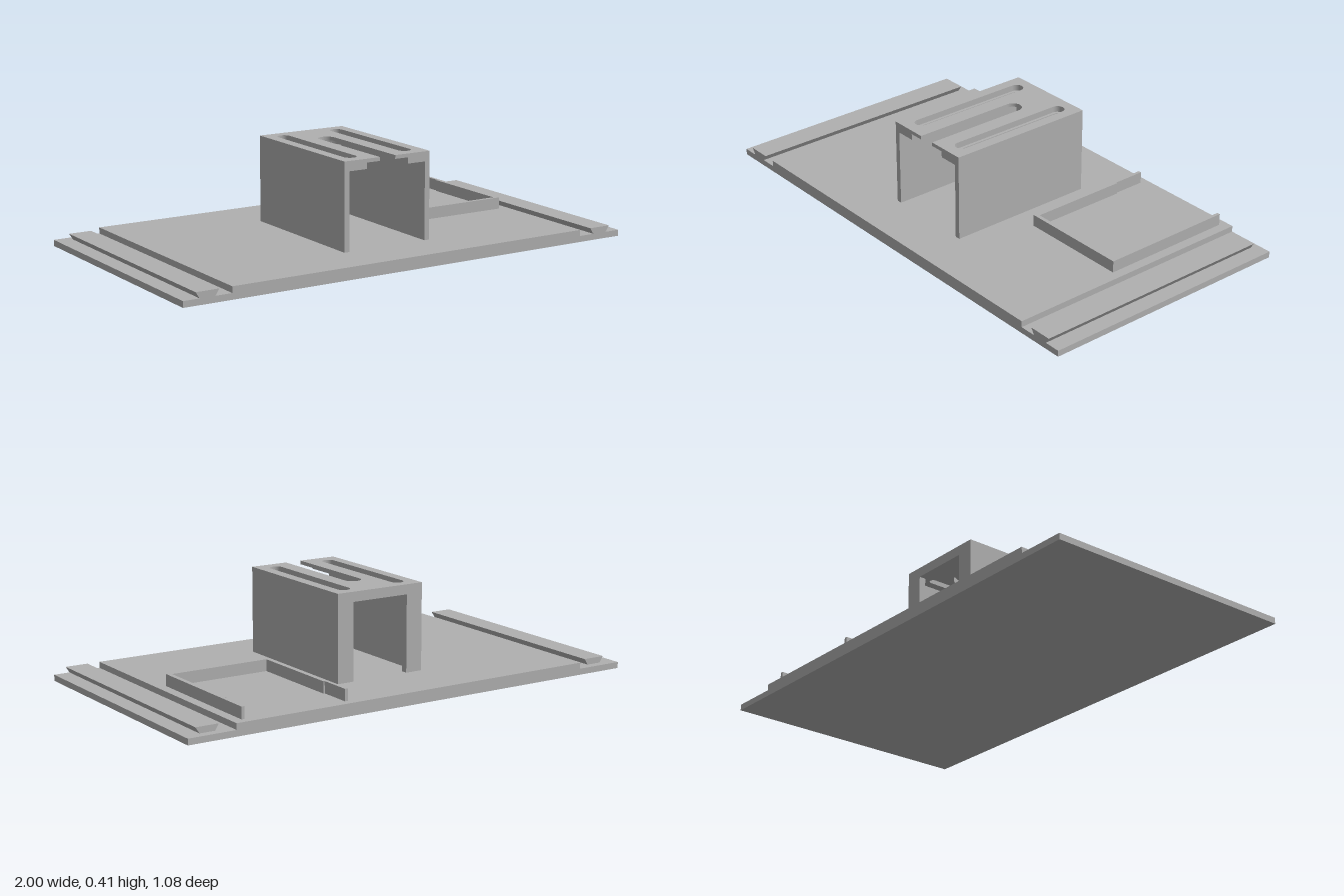
import * as THREE from 'three';

const grey = new THREE.MeshStandardMaterial({ color: 0xb0b0b0 });
grey.name = 'grey plastic';

export function createModel() {
  const model = new THREE.Group();
  model.name = 'mountingPlate';

  const add = (name, geometry, parent = model) => {
    const mesh = new THREE.Mesh(geometry, grey);
    mesh.name = name;
    parent.add(mesh);
    return mesh;
  };

  // Box given by its limits
  const box = (name, x0, x1, y0, y1, z0, z1, parent) =>
    add(name, new THREE.BoxGeometry(x1 - x0, y1 - y0, z1 - z0), parent)
      .position.set((x0 + x1) / 2, (y0 + y1) / 2, (z0 + z1) / 2);

  // Plan shape (x, -z) raised from y0 to y1
  const raise = (shape, y0, y1) =>
    new THREE.ExtrudeGeometry(shape, { depth: y1 - y0, bevelEnabled: false, curveSegments: 20 })
      .rotateX(-Math.PI / 2).translate(0, y0, 0);

  const polygon = (points) => new THREE.Shape(points.map(([x, y]) => new THREE.Vector2(x, y)));

  // Stepped base
  box('basePlate', -1, 1, 0, 0.025, -0.54, 0.54);
  box('raisedDeck', -0.8, 0.8, 0.025, 0.05, -0.54, 0.54);

  // Dovetail rails along both ends
  for (const side of [-1, 1]) {
    const profile = polygon([[-0.032, 0.025], [0.032, 0.025], [0.048, 0.05], [-0.048, 0.05]]);
    const rail = new THREE.ExtrudeGeometry(profile, { depth: 1.045, bevelEnabled: false });
    add(side < 0 ? 'rightRail' : 'leftRail', rail).position.set(side * 0.901, 0, -0.505);
  }

  // Bridge: thin side walls with a thicker lip at the back
  const bridge = new THREE.Group();
  bridge.name = 'bridge';
  model.add(bridge);
  for (const side of [-1, 1]) {
    const wall = polygon([
      [0.197, -0.345], [0.197, 0.285], [0.125, 0.285], [0.125, 0.257], [0.175, 0.257], [0.175, -0.345],
    ].map(([x, y]) => [x * side, y]));
    add(side < 0 ? 'rightWall' : 'leftWall', raise(wall, 0.05, 0.365), bridge);
  }

  // Roof layer with an open front notch and two long slots
  const roofLayer = (notch, slot) => {
    const s = new THREE.Shape();
    s.moveTo(notch, -0.345);
    s.lineTo(0.197, -0.345);
    s.lineTo(0.197, 0.285);
    s.lineTo(-0.197, 0.285);
    s.lineTo(-0.197, -0.345);
    s.lineTo(-notch, -0.345);
    s.lineTo(-notch, 0.09);
    s.absarc(0, 0.09, notch, Math.PI, 0, true);
    s.closePath();
    for (const x of [-0.126, 0.126]) {
      const hole = new THREE.Path();
      hole.absarc(x, 0.215, slot, 0, Math.PI, false);
      hole.absarc(x, -0.272, slot, Math.PI, Math.PI * 2, false);
      hole.closePath();
      s.holes.push(hole);
    }
    return s;
  };
  add('roofUnderside', raise(roofLayer(0.094, 0.015), 0.365, 0.38), bridge);
  add('roofMiddle', raise(roofLayer(0.094, 0.027), 0.38, 0.39), bridge);
  add('roofTop', raise(roofLayer(0.035, 0.027), 0.39, 0.405), bridge);

  // Three-sided tray rim, its arms thinner towards the back
  const rim = polygon([
    [0.3, -0.057], [0.76, -0.057], [0.76, 0.507], [0.747, 0.507], [0.747, 0.37], [0.741, 0.37],
    [0.741, -0.041], [0.319, -0.041], [0.319, 0.37], [0.313, 0.37], [0.313, 0.507], [0.3, 0.507],
  ]);
  add('trayRim', raise(rim, 0.05, 0.098));

  return model;
}
